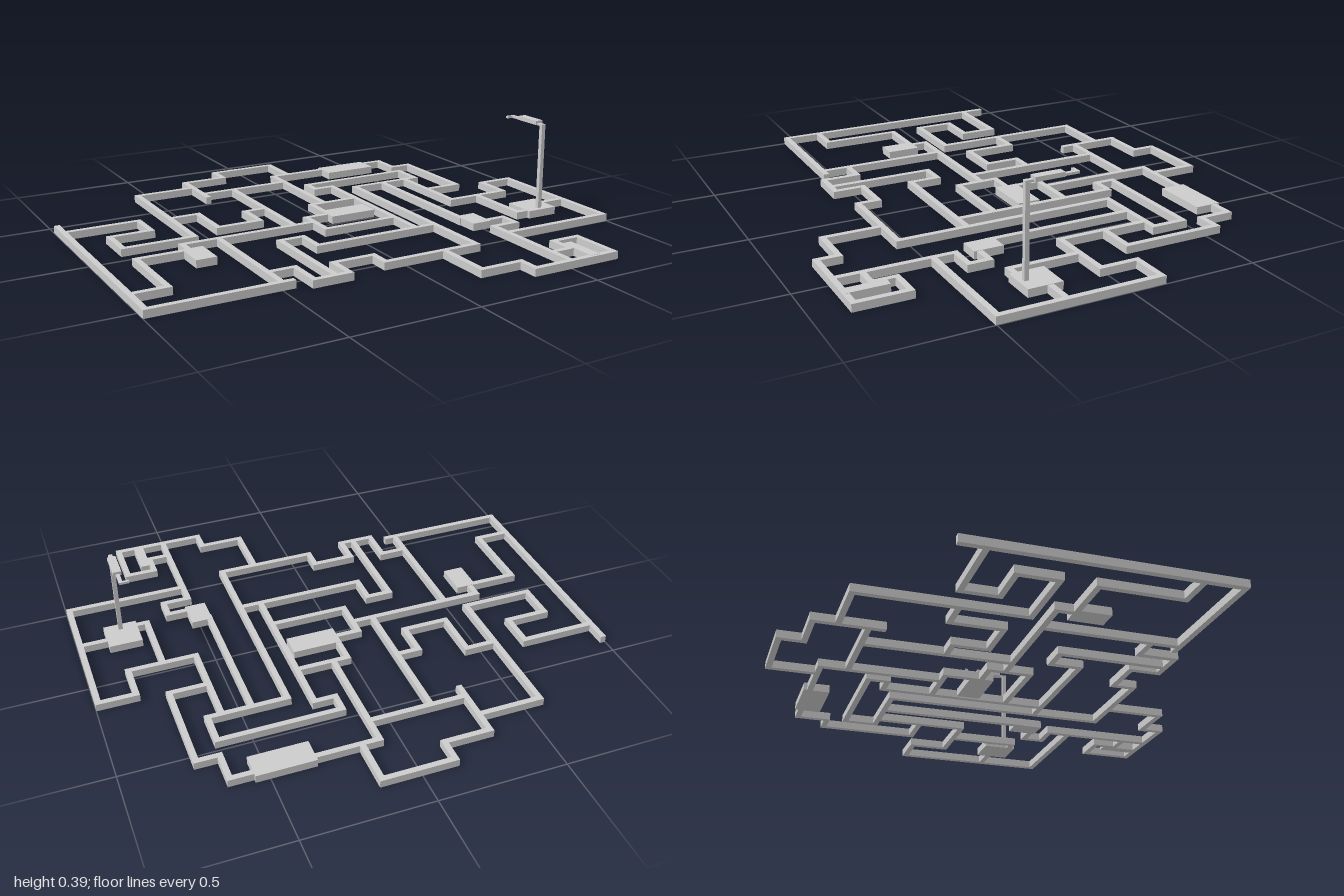
import * as THREE from 'three';

const W = 0.023, H = 0.03;

export function createModel() {
  const model = new THREE.Group();
  const mat = new THREE.MeshStandardMaterial({ color: 0xcccccc, flatShading: true });

  // box given by its min and max on each axis
  function box(parent, name, x0, x1, y0, y1, z0, z1) {
    const mesh = new THREE.Mesh(new THREE.BoxGeometry(x1 - x0, y1 - y0, z1 - z0), mat);
    mesh.position.set((x0 + x1) / 2, (y0 + y1) / 2, (z0 + z1) / 2);
    mesh.name = name;
    parent.add(mesh);
  }

  // right-angled walkway: start x, z, then alternating targets (x, z, x, ... or z, x, z, ...)
  function path(name, x, z, first, ...targets) {
    const group = new THREE.Group();
    group.name = name;
    let alongX = first === 'x';
    const h = W / 2;
    for (const t of targets) {
      const nx = alongX ? t : x, nz = alongX ? z : t;
      box(group, 'walkwaySegment', Math.min(x, nx) - h, Math.max(x, nx) + h, 0, H,
        Math.min(z, nz) - h, Math.max(z, nz) + h);
      x = nx; z = nz;
      alongX = !alongX;
    }
    model.add(group);
  }

  // west side
  path('westWalkway', -0.988, -0.43, 'z', 0.543, -0.46);
  path('westLoop', -0.988, -0.345, 'x', -0.685, -0.205, -0.852, -0.055, -0.566, -0.68, -0.312);
  path('westInnerLoop', -0.988, 0.395, 'x', -0.85, 0.08, -0.645, 0.01, -0.083);
  path('westSpine', -0.497, 0.01, 'z', 0.543);

  // north side
  path('northStub', -0.312, -0.52, 'z', -0.77, -0.13, -0.862, 0.15, -0.675);
  path('northEastWalkway', 0.08, -0.675, 'x', 0.64, -0.552, 0.727, -0.163, 0.573);
  path('northCrossing', -0.312, -0.57, 'x', 0.08);
  path('northSpine', 0.08, -0.675, 'z', -0.2);
  path('northWestSpine', -0.17, -0.57, 'z', 0.01);
  path('northWestLoop', -0.566, -0.313, 'x', -0.443, -0.113, -0.262, -0.25, -0.17);

  // centre
  path('centreLoop', 0.23, -0.2, 'x', 0.02, -0.055, -0.083, 0.11, 0.23);
  path('southWestLoop', -0.497, 0.432, 'x', -0.39, 0.575, -0.25, 0.46, -0.083, 0.543,
    0.317, -0.345, 0.628, -0.475, 0.147, -0.4, 0.23, 0.267);
  path('centreSouthLoop', -0.305, 0.575, 'z', 0.15, -0.207, 0.267, 0.317);

  // east side
  path('eastLoop', 0.573, -0.345, 'z', 0.022, 0.843, -0.125, 0.988, 0.492, 0.505);
  path('eastBranch', 0.705, 0.022, 'z', 0.3, 0.75);
  path('lampLink', 0.88, 0.24, 'x', 0.988);
  path('innerEastSpine', 0.457, -0.345, 'z', 0.25);
  path('southEastWalkway', 0.52, 0.325, 'x', 0.61, 0.405, 0.505, 0.858);

  // south side
  path('southLoop', 0.17, 0.543, 'z', 0.775, 0.343, 0.858, 0.705, 0.66, 0.59, 0.753, 0.505);

  // platforms: x0, x1, z0, z1
  const platforms = [
    [-0.67, -0.587, 0.07, 0.205], [0.01, 0.207, -0.1, -0.007], [0.325, 0.555, -0.7, -0.597],
    [0.747, 0.88, 0.19, 0.325], [0.449, 0.533, 0.23, 0.347], [0.597, 0.638, 0.702, 0.858],
  ];
  for (const [x0, x1, z0, z1] of platforms) box(model, 'platform', x0, x1, 0, H + 0.001, z0, z1);

  // lamp post with overhanging arm
  const lamp = new THREE.Group();
  lamp.name = 'lampPost';
  box(lamp, 'post', 0.806, 0.823, H, 0.383, 0.289, 0.306);
  box(lamp, 'arm', 0.807, 0.822, 0.374, 0.383, 0.105, 0.306);
  box(lamp, 'lampHead', 0.799, 0.832, 0.376, 0.393, 0.163, 0.275);
  box(lamp, 'armTip', 0.783, 0.822, 0.374, 0.383, 0.102, 0.113);
  model.add(lamp);

  return model;
}
